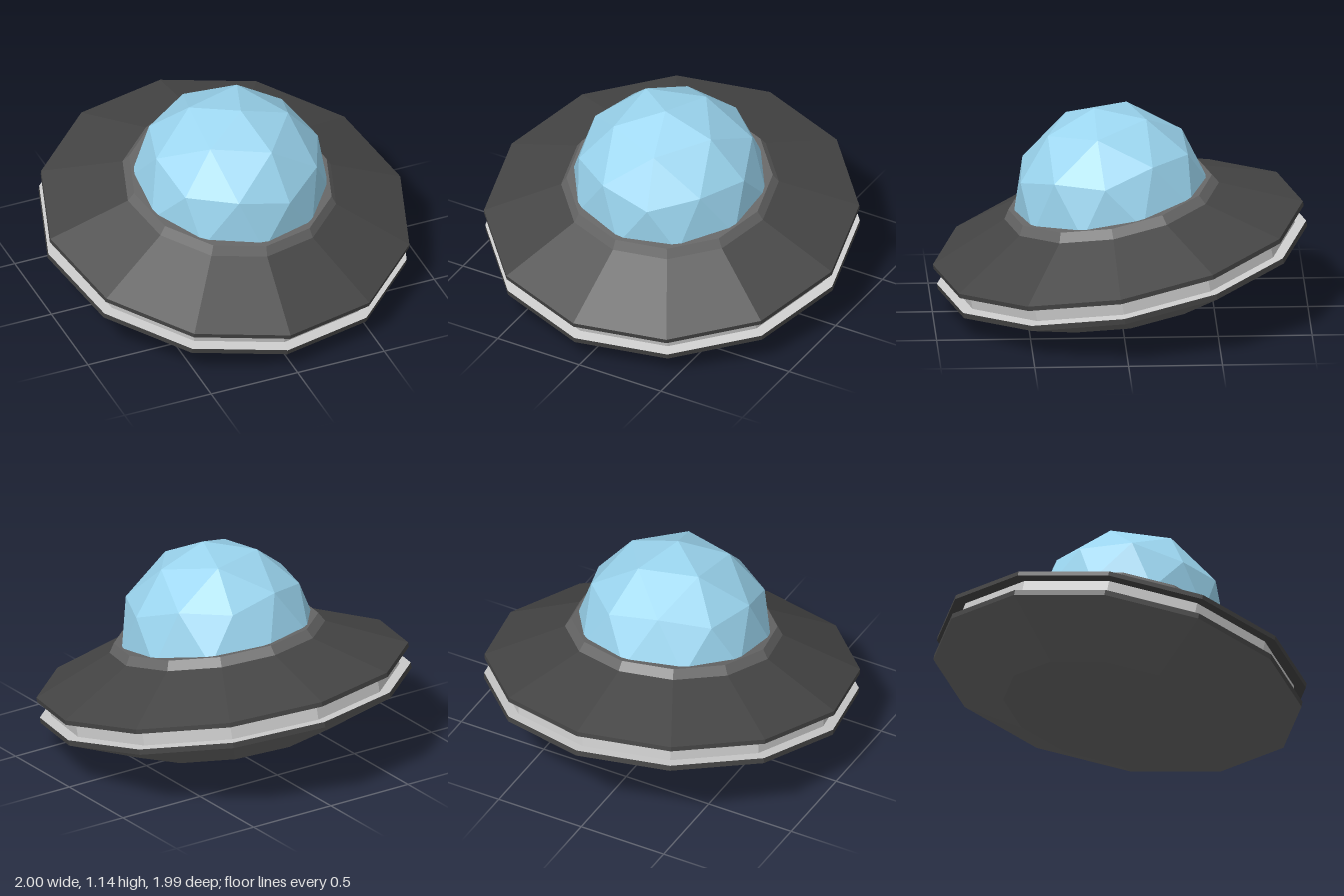
import * as THREE from 'three';

const SIDES = 12;

function material(color) {
  return new THREE.MeshStandardMaterial({ color, flatShading: true });
}

// Faceted ring or disc from a [radius, height] profile, listed bottom to top
function turned(name, profile, color) {
  const points = profile.map(([r, y]) => new THREE.Vector2(r, y));
  const mesh = new THREE.Mesh(new THREE.LatheGeometry(points, SIDES), material(color));
  mesh.material.side = THREE.DoubleSide;
  mesh.name = name;
  return mesh;
}

// Upper half of an icosphere with a vertex at its pole
function domeGeometry(radius) {
  const sphere = new THREE.IcosahedronGeometry(radius, 1);
  sphere.rotateZ(-Math.atan(2 / (1 + Math.sqrt(5))));
  const p = sphere.attributes.position;
  const kept = [];
  for (let i = 0; i < p.count; i += 3) {
    if (p.getY(i) + p.getY(i + 1) + p.getY(i + 2) < 0) continue;
    for (let j = i; j < i + 3; j++) kept.push(p.getX(j), p.getY(j), p.getZ(j));
  }
  const dome = new THREE.BufferGeometry();
  dome.setAttribute('position', new THREE.Float32BufferAttribute(kept, 3));
  dome.computeVertexNormals();
  return dome;
}

export function createModel() {
  const saucer = new THREE.Group();
  saucer.name = 'saucer';

  // Underside: flat base, sloping flank and thin dark rim
  saucer.add(turned('underside', [[0, -0.327], [0.585, -0.327], [0.998, -0.142]], 0x666666));
  saucer.add(turned('lowerRim', [[0.998, -0.142], [0.998, -0.112]], 0x444444));

  // Recessed light band with the ledge below it
  saucer.add(turned('band', [[0.998, -0.112], [0.937, -0.11], [0.937, -0.025]], 0xcccccc));

  // Upper hull: lip, rim and shallow cone
  saucer.add(turned('upperHull', [[0.937, -0.025], [1, -0.025], [1, 0], [0.58, 0.187]], 0x444444));

  // Collar around the dome
  saucer.add(turned('collar', [[0.58, 0.187], [0.55, 0.236], [0.45, 0.236]], 0x666666));

  // Canopy
  const dome = new THREE.Mesh(domeGeometry(0.532), material(0x9ad4ee));
  dome.name = 'dome';
  dome.position.y = 0.19;
  saucer.add(dome);

  // Lean the whole craft forward and slightly sideways
  const up = new THREE.Vector3(0, 1, 0);
  const axis = new THREE.Vector3(0.05, 1, 0.18).normalize();
  saucer.quaternion.setFromUnitVectors(up, axis);
  saucer.rotateY(-0.035);
  saucer.position.set(0, 0.43, 0.012);

  const model = new THREE.Group();
  model.name = 'flyingSaucer';
  model.add(saucer);
  return model;
}
